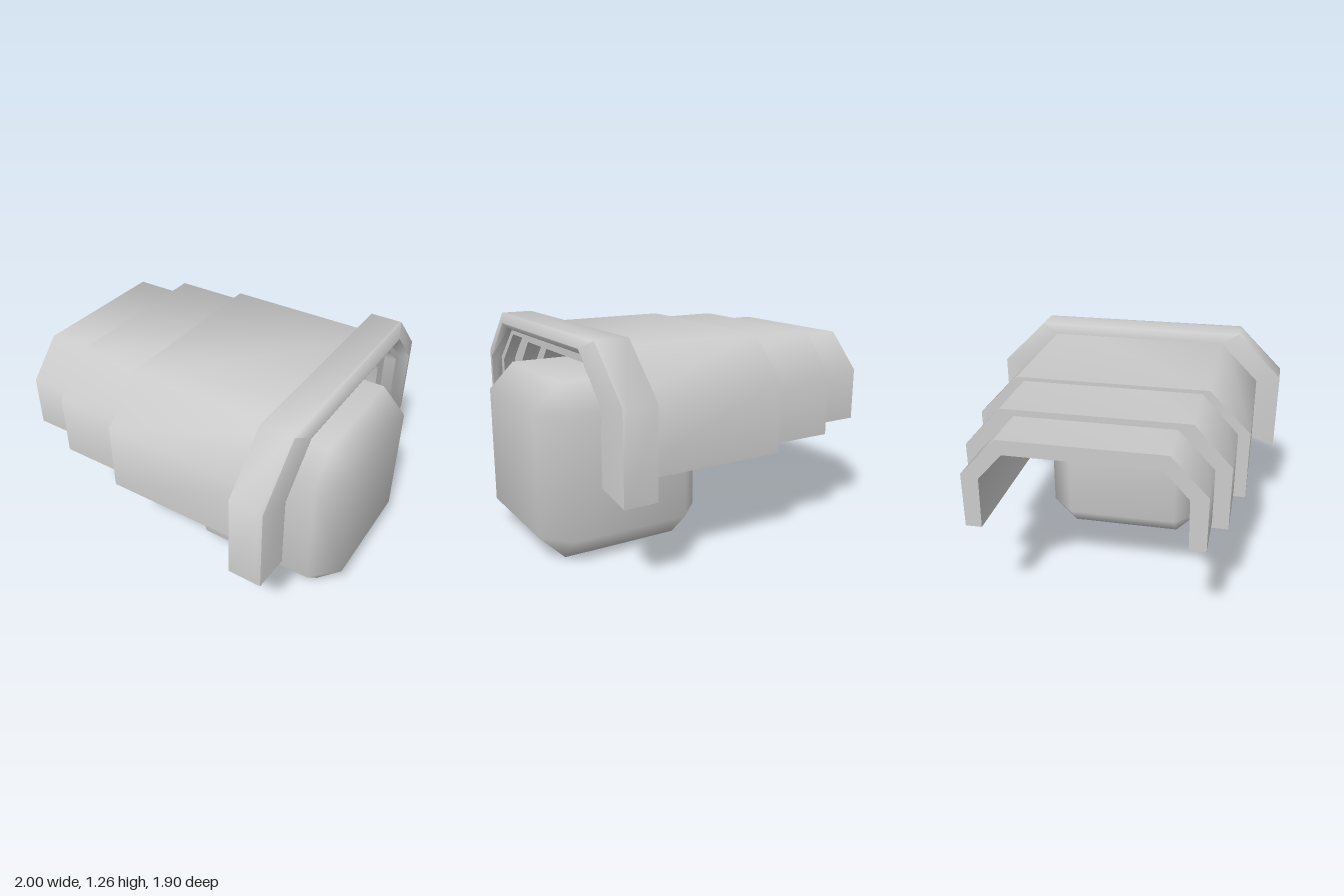
import * as THREE from 'three';
import { toCreasedNormals } from 'three/addons/utils/BufferGeometryUtils.js';
import { ConvexGeometry } from 'three/addons/geometries/ConvexGeometry.js';

const material = new THREE.MeshStandardMaterial({ color: 0xcccccc });

// Mirror a half profile of [z, y] points into a full arch, +z foot to -z foot
const arch = (half) => [...half, ...half.slice().reverse().map(([z, y]) => [-z, y])];

// Loft an arched shell through sections of [x, outer half profile, inner half profile]
function archShell(name, sections) {
  const rings = sections.map(([x, outer, inner]) =>
    [...arch(outer), ...arch(inner).reverse()].map(([z, y]) => [x, y, z]));
  const pos = [];
  const quad = (a, b, c, d) => pos.push(...a, ...b, ...c, ...a, ...c, ...d);
  const n = rings[0].length;
  for (let i = 0; i < rings.length - 1; i++) {
    const p = rings[i], q = rings[i + 1];
    for (let j = 0; j < n; j++) {
      const k = (j + 1) % n;
      quad(p[j], q[j], q[k], p[k]);
    }
  }
  // End faces
  const first = rings[0], last = rings[rings.length - 1];
  for (let j = 0; j < n / 2 - 1; j++) {
    quad(first[j], first[j + 1], first[n - 2 - j], first[n - 1 - j]);
    quad(last[n - 1 - j], last[n - 2 - j], last[j + 1], last[j]);
  }
  const geo = new THREE.BufferGeometry();
  geo.setAttribute('position', new THREE.Float32BufferAttribute(pos, 3));
  const mesh = new THREE.Mesh(toCreasedNormals(geo, 1.2), material);
  mesh.name = name;
  return mesh;
}

// Cube with 45 degree bevels, shaded smoothly across its edges
function bevelledCube(size, bevel) {
  const h = size / 2, k = h - bevel, points = [];
  for (const x of [-1, 1]) for (const y of [-1, 1]) for (const z of [-1, 1]) {
    points.push(
      new THREE.Vector3(x * h, y * k, z * k),
      new THREE.Vector3(x * k, y * h, z * k),
      new THREE.Vector3(x * k, y * k, z * h));
  }
  const geo = new ConvexGeometry(points);
  const p = geo.attributes.position, n = new THREE.Vector3();
  for (let i = 0; i < p.count; i++) {
    n.fromBufferAttribute(p, i).set(n.x ** 5, n.y ** 5, n.z ** 5).normalize();
    geo.attributes.normal.setXYZ(i, n.x, n.y, n.z);
  }
  return geo;
}

export function createModel() {
  const model = new THREE.Group();

  // Two narrower arched sleeves that slide far into the next one
  const small = [[0.64, 0.62], [0.64, 0.93], [0.44, 1.142]];
  const smallInner = [[0.55, 0.62], [0.545, 0.91], [0.41, 1.06]];
  model.add(archShell('smallSleeve', [[-1, small, smallInner], [0.6, small, smallInner]]));

  const middle = [[0.73, 0.58], [0.73, 0.95], [0.52, 1.178]];
  const middleInner = [[0.63, 0.58], [0.63, 0.92], [0.475, 1.09]];
  model.add(archShell('middleSleeve', [[-0.7, middle, middleInner], [0.7, middle, middleInner]]));

  // Large sleeve running on inside the collar, its inner foot rising towards the mouth
  const large = [[0.8, 0.55], [0.8, 0.96], [0.56, 1.2]];
  model.add(archShell('largeSleeve', [
    [-0.28, large, [[0.7, 0.55], [0.725, 0.94], [0.535, 1.12]]],
    [0.77, large, [[0.735, 0.6], [0.745, 0.945], [0.545, 1.135]]]]));

  // Flared collar with a bevelled outer rim and a short bevelled mouth
  const edge = [[0.8, 0.55], [0.8, 0.97], [0.56, 1.21]];
  const rim = [[0.95, 0.48], [0.95, 0.98], [0.665, 1.26]];
  const throat = [[0.79, 0.56], [0.79, 0.955], [0.555, 1.17]];
  const mouth = [[0.798, 0.552], [0.798, 0.968], [0.559, 1.207]];
  model.add(archShell('collar', [
    [0.57, edge, throat], [0.6, rim, throat], [0.77, rim, throat],
    [0.793, rim, throat], [0.832, edge, mouth]]));

  // Block under the collar
  const block = new THREE.Mesh(bevelledCube(1, 0.15), material);
  block.name = 'block';
  block.position.set(0.5, 0.5, 0.003);
  model.add(block);

  return model;
}
